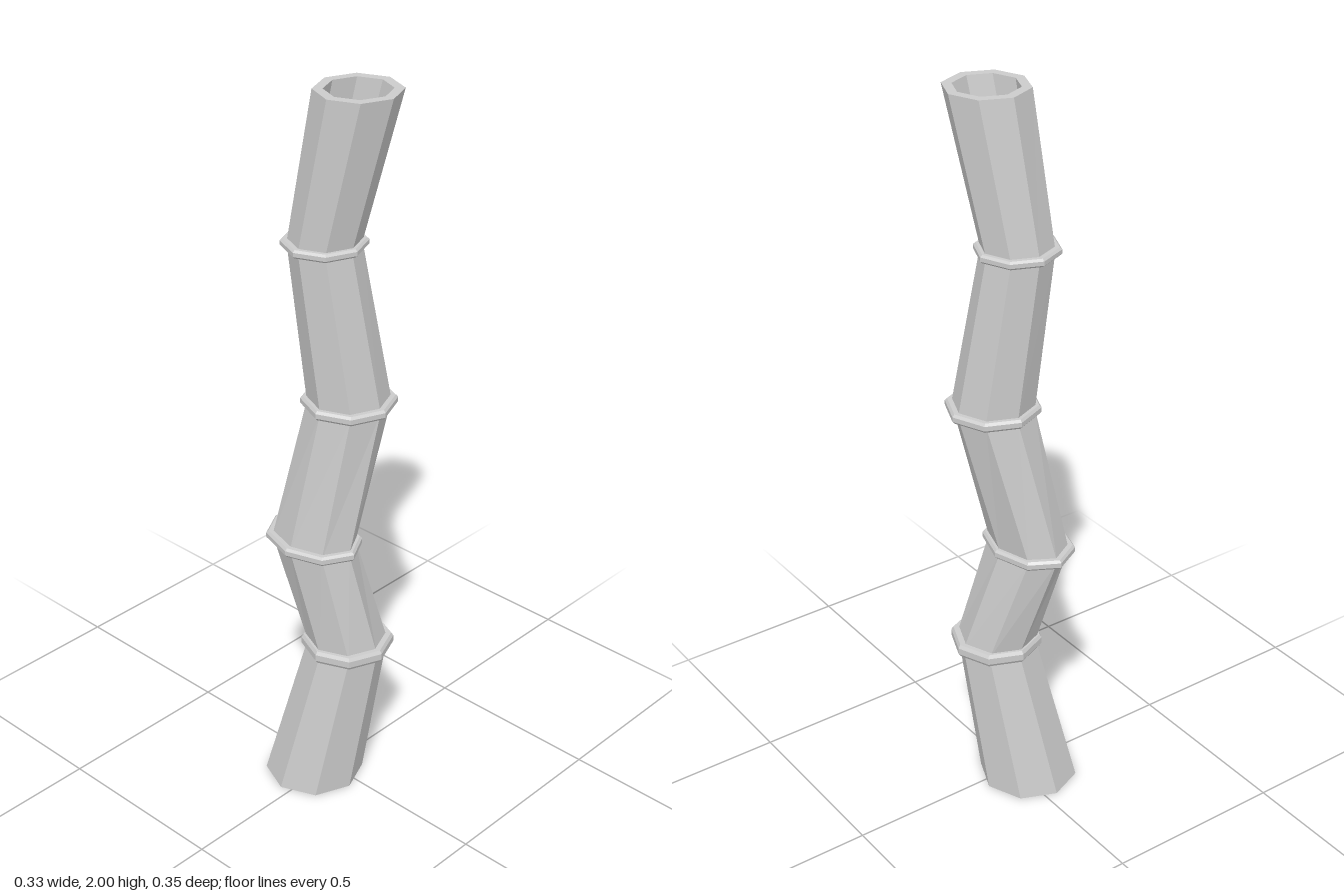
import * as THREE from 'three';

const SIDES = 8;

// Joints of the cane, bottom to top: centre, half widths in x and z, band half height
const joints = [
  { x: -0.033, y: 0, z: -0.03, rx: 0.135, rz: 0.135 },
  { x: 0.024, y: 0.438, z: 0.042, rx: 0.108, rz: 0.108, band: 0.018 },
  { x: -0.032, y: 0.757, z: -0.028, rx: 0.092, rz: 0.127, band: 0.013 },
  { x: 0.04, y: 1.162, z: 0.029, rx: 0.108, rz: 0.108, band: 0.013 },
  { x: -0.006, y: 1.6, z: -0.013, rx: 0.094, rz: 0.092, band: 0.011 },
  { x: 0.028, y: 2, z: 0.065, rx: 0.11, rz: 0.11 },
];

// Skins a closed chain of horizontal octagons (outside going up, inside going down)
function loft(name, rings, material) {
  const positions = [];
  const index = [];
  for (const r of rings) {
    for (let j = 0; j < SIDES; j++) {
      const a = (j / SIDES) * Math.PI * 2;
      positions.push(r.x + r.rx * Math.sin(a), r.y, r.z + r.rz * Math.cos(a));
    }
  }
  for (let i = 0; i < rings.length; i++) {
    const lower = i * SIDES;
    const upper = ((i + 1) % rings.length) * SIDES;
    for (let j = 0; j < SIDES; j++) {
      const k = (j + 1) % SIDES;
      index.push(lower + j, lower + k, upper + k, lower + j, upper + k, upper + j);
    }
  }
  let geometry = new THREE.BufferGeometry();
  geometry.setAttribute('position', new THREE.Float32BufferAttribute(positions, 3));
  geometry.setIndex(index);
  geometry = geometry.toNonIndexed();
  geometry.computeVertexNormals();
  const mesh = new THREE.Mesh(geometry, material);
  mesh.name = name;
  return mesh;
}

export function createModel() {
  const group = new THREE.Group();
  group.name = 'bambooStalk';
  const material = new THREE.MeshStandardMaterial({ color: 0xcccccc, flatShading: true });

  // Hollow stalk, open at both ends
  const bore = joints.map((j) => ({ ...j, rx: j.rx * 0.765, rz: j.rz * 0.765 })).reverse();
  group.add(loft('hollowStalk', [...joints, ...bore], material));

  // Raised bands around the inner joints: [outward offset, height as a share of half height]
  const profile = [[-0.01, -1], [0.011, -1], [0.017, -0.5], [0.017, 0.5], [0.011, 1], [-0.01, 1]];
  joints.filter((j) => j.band).forEach((j, n) => {
    const rings = profile.map(([out, h]) => ({
      x: j.x, y: j.y + h * j.band, z: j.z, rx: j.rx + out, rz: j.rz + out,
    }));
    group.add(loft(`jointBand${n + 1}`, rings, material));
  });

  return group;
}
